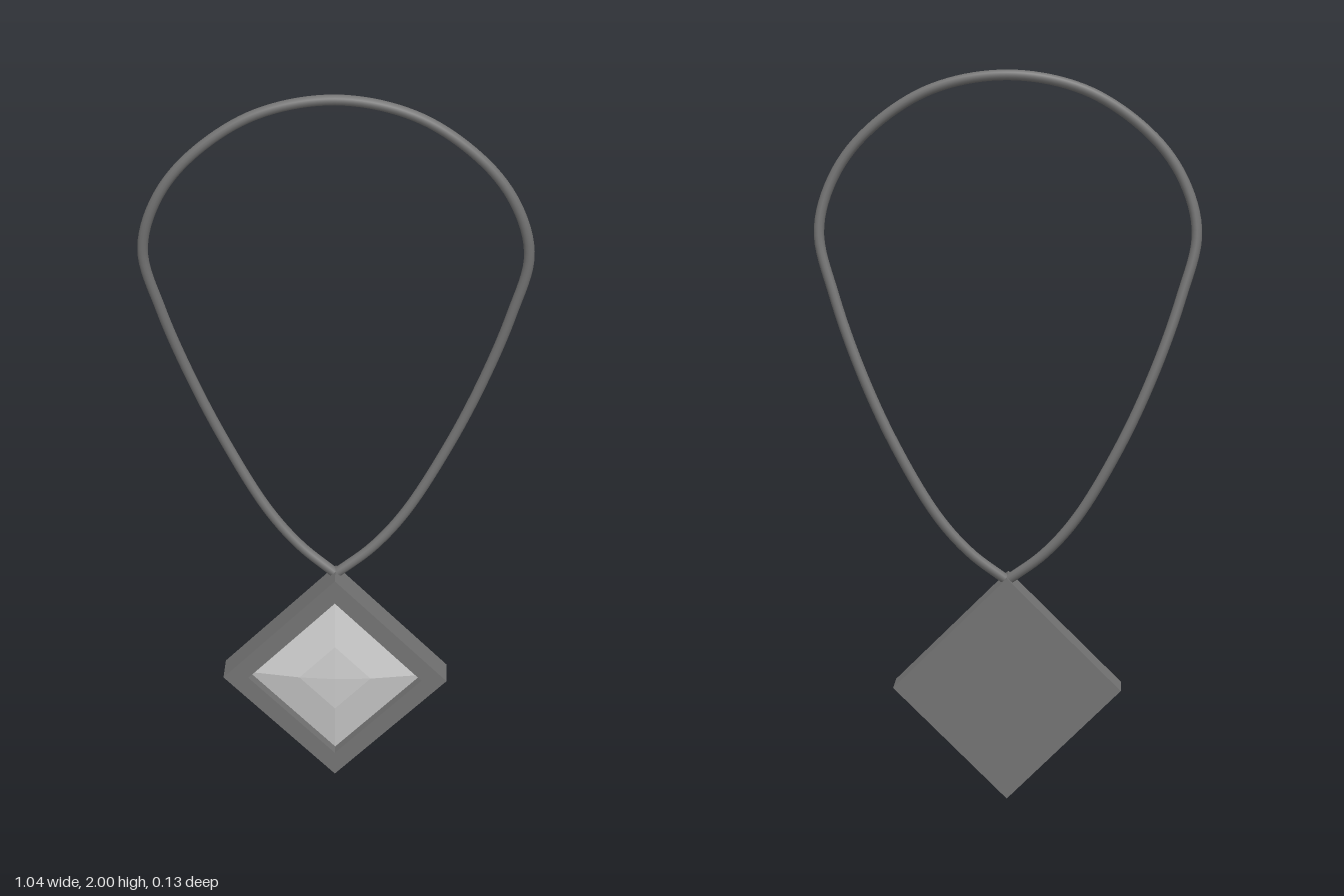
import * as THREE from 'three';

const CENTER_Y = 0.315; // height of the pendant's middle
const BACK = -0.03, FRONT = 0.063; // pendant depth range
const FLOOR = 0.03; // depth of the recess holding the gem

// Square standing on one corner
function diamond(Type, r) {
  const d = new Type();
  d.moveTo(r, 0);
  d.lineTo(0, r);
  d.lineTo(-r, 0);
  d.lineTo(0, -r);
  d.closePath();
  return d;
}

function addSlab(group, name, shape, z0, z1, material) {
  const geometry = new THREE.ExtrudeGeometry(shape, { depth: z1 - z0, bevelEnabled: false });
  const mesh = new THREE.Mesh(geometry, material);
  mesh.name = name;
  mesh.position.z = z0;
  group.add(mesh);
}

export function createModel() {
  const model = new THREE.Group();
  model.name = 'necklace';
  const dark = new THREE.MeshStandardMaterial({ color: 0x737373 });
  const darkFlat = new THREE.MeshStandardMaterial({ color: 0x737373, flatShading: true });
  const light = new THREE.MeshStandardMaterial({ color: 0xcccccc, flatShading: true });

  // Pendant: solid back plate with a raised rim
  const pendant = new THREE.Group();
  pendant.name = 'pendant';
  pendant.position.y = CENTER_Y;
  model.add(pendant);
  addSlab(pendant, 'backPlate', diamond(THREE.Shape, 0.313), BACK, FLOOR, darkFlat);
  const rim = diamond(THREE.Shape, 0.313);
  rim.holes.push(diamond(THREE.Path, 0.243));
  addSlab(pendant, 'rim', rim, FLOOR, FRONT, darkFlat);

  // Four-sided faceted gem set in the recess
  const profile = [[0.242, 0], [0.1, 0.025], [0, 0.031]].map(([r, h]) => new THREE.Vector2(r, h));
  const gem = new THREE.Mesh(new THREE.LatheGeometry(profile, 4), light);
  gem.name = 'gem';
  gem.rotation.x = Math.PI / 2;
  gem.position.z = FLOOR + 0.001;
  pendant.add(gem);

  // Cord: half outline as x, y, z, with the wave in depth deeper on the right half
  const half = [
    [0.1, 0.695, -0.018], [0.19, 0.8, -0.03], [0.305, 1.0, -0.04], [0.395, 1.2, -0.033],
    [0.465, 1.4, -0.014], [0.505, 1.57, 0.002], [0.468, 1.71, 0.013],
    [0.38, 1.83, 0.014], [0.21, 1.945, 0.007],
  ];
  const side = (sign, wave) => half.map(([x, y, z]) =>
    new THREE.Vector3(sign * x, y, z < 0 ? z * wave : z));
  const bottom = new THREE.Vector3(0, 0.617, -0.004);
  const path = new THREE.CatmullRomCurve3([
    bottom, ...side(1, 0.78), new THREE.Vector3(0, 1.986, 0), ...side(-1, 1.2).reverse(), bottom.clone(),
  ]);
  const cord = new THREE.Mesh(new THREE.TubeGeometry(path, 160, 0.014, 12), dark);
  cord.name = 'cord';
  model.add(cord);

  return model;
}
